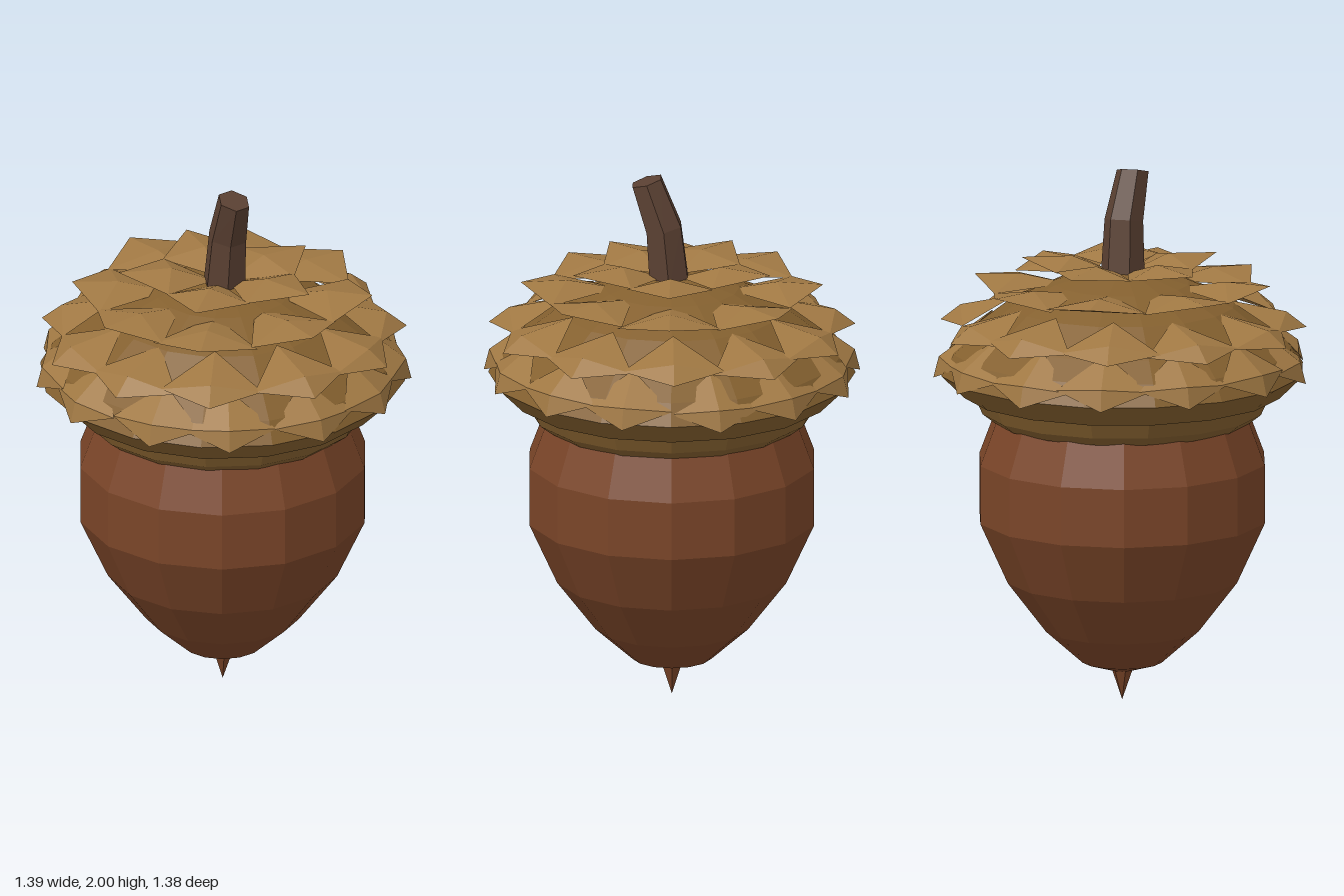
import * as THREE from 'three';

const mat = (color) => new THREE.MeshStandardMaterial({ color, flatShading: true, side: THREE.DoubleSide });

function addMesh(parent, name, geometry, material) {
  const mesh = new THREE.Mesh(geometry, material);
  mesh.name = name;
  parent.add(mesh);
  return mesh;
}

const lathe = (points, sides) =>
  new THREE.LatheGeometry(points.map(([r, y]) => new THREE.Vector2(r, y)), sides);

// Small repeatable noise in -1..1
function makeNoise(seed) {
  let s = seed;
  return () => {
    s = (s * 16807) % 2147483647;
    return (s / 2147483647) * 2 - 1;
  };
}

// Kite-shaped scale with a raised ridge, pointing along +z; points are [radius, height]
function scaleGeometry({ base, corner, halfWidth, ridge, tip }) {
  const B = [0, base[1], base[0]];
  const L = [-halfWidth, corner[1], corner[0]];
  const R = [halfWidth, corner[1], corner[0]];
  const M = [0, ridge[1], ridge[0]];
  const T = [0, tip[1], tip[0]];
  const faces = [B, L, M, L, T, M, T, R, M, R, B, M, B, R, L, R, T, L];
  const geometry = new THREE.BufferGeometry();
  geometry.setAttribute('position', new THREE.Float32BufferAttribute(faces.flat(), 3));
  geometry.computeVertexNormals();
  return geometry;
}

// Bent tube with flat sides, from rings of [x, y, z, radius, tilt]
function stemGeometry(rings, sides) {
  const positions = [];
  const index = [];
  rings.forEach(([x, y, z, r, tilt]) => {
    for (let i = 0; i < sides; i++) {
      const a = (i / sides) * Math.PI * 2;
      const dx = Math.sin(a) * r;
      positions.push(x + dx, y - dx * tilt, z + Math.cos(a) * r);
    }
  });
  for (let k = 0; k < rings.length - 1; k++) {
    for (let i = 0; i < sides; i++) {
      const a = k * sides + i;
      const b = k * sides + ((i + 1) % sides);
      index.push(a, b, b + sides, a, b + sides, a + sides);
    }
  }
  const top = (rings.length - 1) * sides;
  for (let i = 1; i < sides - 1; i++) index.push(top, top + i, top + i + 1);
  const geometry = new THREE.BufferGeometry();
  geometry.setAttribute('position', new THREE.Float32BufferAttribute(positions, 3));
  geometry.setIndex(index);
  geometry.computeVertexNormals();
  return geometry;
}

export function createModel() {
  const model = new THREE.Group();
  model.name = 'acorn';
  const nutMat = mat(0x7a4528);
  const capMat = mat(0x84602f);
  const scaleMat = mat(0xa07843);
  const stemMat = mat(0x5a4032);

  // Nut body
  addMesh(model, 'nut', lathe([
    [0, 0.11], [0.05, 0.115], [0.15, 0.145], [0.29, 0.27], [0.435, 0.46],
    [0.54, 0.69], [0.54, 0.91], [0.48, 1.07], [0.4, 1.16],
  ], 14), nutMat);

  // Pointed end below the nut
  const point = addMesh(model, 'nutPoint', new THREE.ConeGeometry(0.045, 0.13, 6), nutMat);
  point.rotation.x = Math.PI;
  point.position.y = 0.065;

  // Cap with a stepped underside and domed top
  addMesh(model, 'cap', lathe([
    [0.4, 1.08], [0.48, 1.065], [0.525, 1.1], [0.555, 1.165], [0.595, 1.165],
    [0.68, 1.25], [0.635, 1.33], [0.55, 1.4], [0.42, 1.5], [0.25, 1.58], [0.1, 1.62], [0, 1.625],
  ], 16), capMat);

  // Overlapping rows of scales, from the rim to the crown
  const rows = [
    { count: 13, offset: 0, base: [0.54, 1.42], corner: [0.63, 1.3], halfWidth: 0.175, ridge: [0.68, 1.315], tip: [0.7, 1.235] },
    { count: 11, offset: 0.5, base: [0.4, 1.51], corner: [0.565, 1.425], halfWidth: 0.19, ridge: [0.61, 1.465], tip: [0.685, 1.405] },
    { count: 8, offset: 0, base: [0.2, 1.57], corner: [0.44, 1.56], halfWidth: 0.195, ridge: [0.39, 1.6], tip: [0.56, 1.59] },
    { count: 5, offset: 0.5, base: [0.03, 1.62], corner: [0.21, 1.64], halfWidth: 0.16, ridge: [0.19, 1.675], tip: [0.385, 1.66] },
  ];
  const noise = makeNoise(17);
  const scales = new THREE.Group();
  scales.name = 'scales';
  model.add(scales);
  rows.forEach((row) => {
    const geometry = scaleGeometry(row);
    for (let i = 0; i < row.count; i++) {
      const scale = addMesh(scales, 'scale', geometry, scaleMat);
      scale.rotation.y = ((i + row.offset) / row.count) * Math.PI * 2 + noise() * 0.03;
      scale.position.y = noise() * 0.008;
    }
  });

  // Bent stem
  addMesh(model, 'stem', stemGeometry([
    [0.01, 1.6, 0, 0.083, 0],
    [0.03, 1.81, 0, 0.073, 0.2],
    [0.093, 1.984, 0.02, 0.06, 0.3],
  ], 6), stemMat);

  return model;
}
